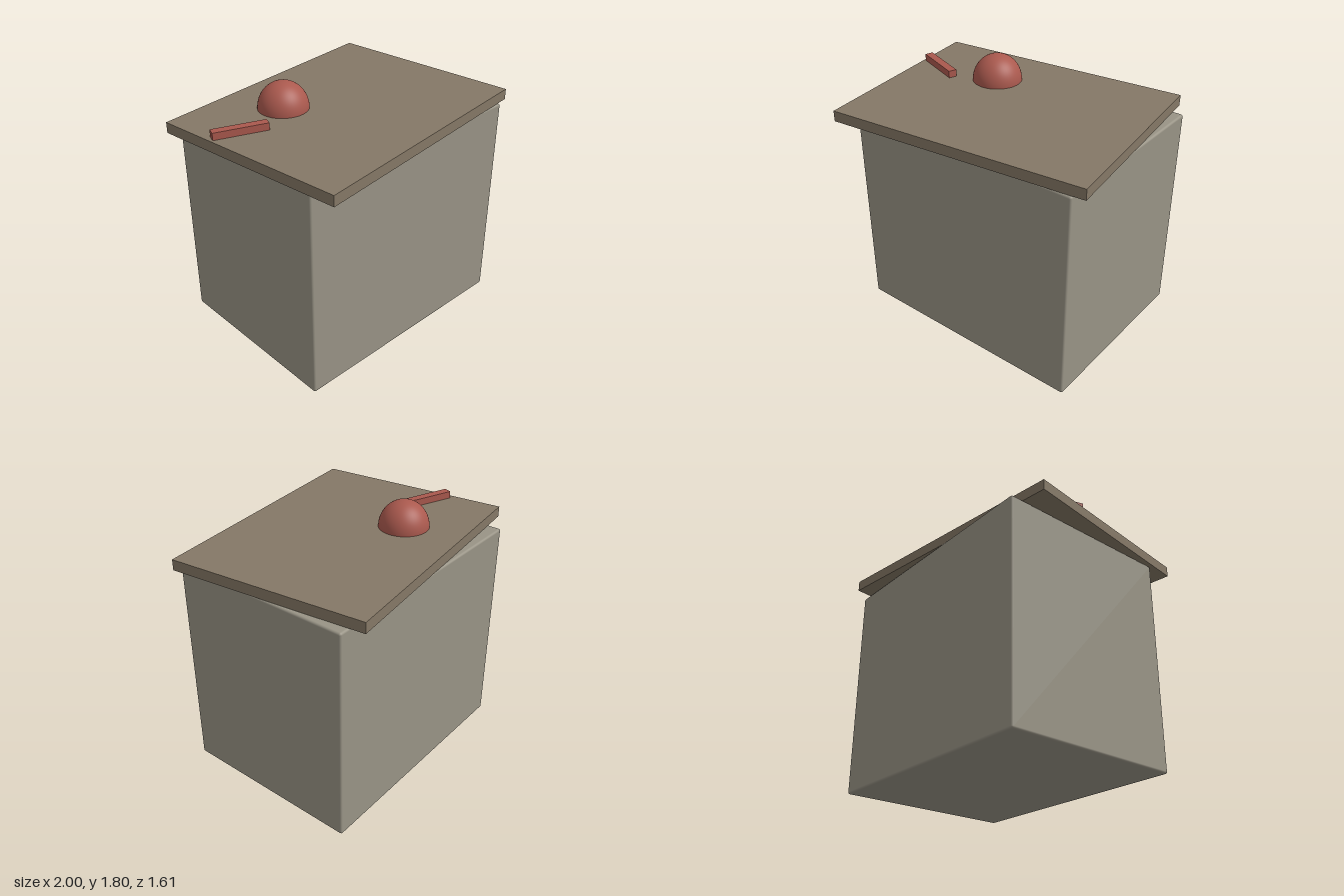
import * as THREE from 'three';
import { RoundedBoxGeometry } from 'three/addons/geometries/RoundedBoxGeometry.js';

const BASE_TOP = 1.54, LID_TOP = 1.615;

export function createModel() {
  const group = new THREE.Group();
  const stone = new THREE.MeshStandardMaterial({ color: 0x999486 });
  const wood = new THREE.MeshStandardMaterial({ color: 0x857866 });
  const red = new THREE.MeshStandardMaterial({ color: 0xaa594e });

  const add = (name, geometry, material, x, y, z, turn = 0) => {
    const mesh = new THREE.Mesh(geometry, material);
    mesh.name = name;
    mesh.position.set(x, y, z);
    mesh.rotation.y = turn;
    group.add(mesh);
  };

  // Block with softly rounded edges
  add('base', new RoundedBoxGeometry(1.745, BASE_TOP, 1.31, 3, 0.015), stone, 0.043, BASE_TOP / 2, -0.046);

  // Flat lid, turned slightly on the block
  add('lid', new THREE.BoxGeometry(1.839, LID_TOP - BASE_TOP, 1.4), wood,
    0, (LID_TOP + BASE_TOP) / 2, 0, 0.1227);

  // Slightly tall half-dome resting on the lid
  const dome = new THREE.SphereGeometry(1, 48, 20, 0, Math.PI * 2, 0, Math.PI / 2);
  dome.scale(0.173, 0.184, 0.173);
  add('dome', dome, red, -0.31, LID_TOP, -0.245);

  // Small bar lying beside the dome
  add('bar', new THREE.BoxGeometry(0.367, 0.05, 0.058), red, -0.748, LID_TOP + 0.025, -0.135, -0.347);

  return group;
}
